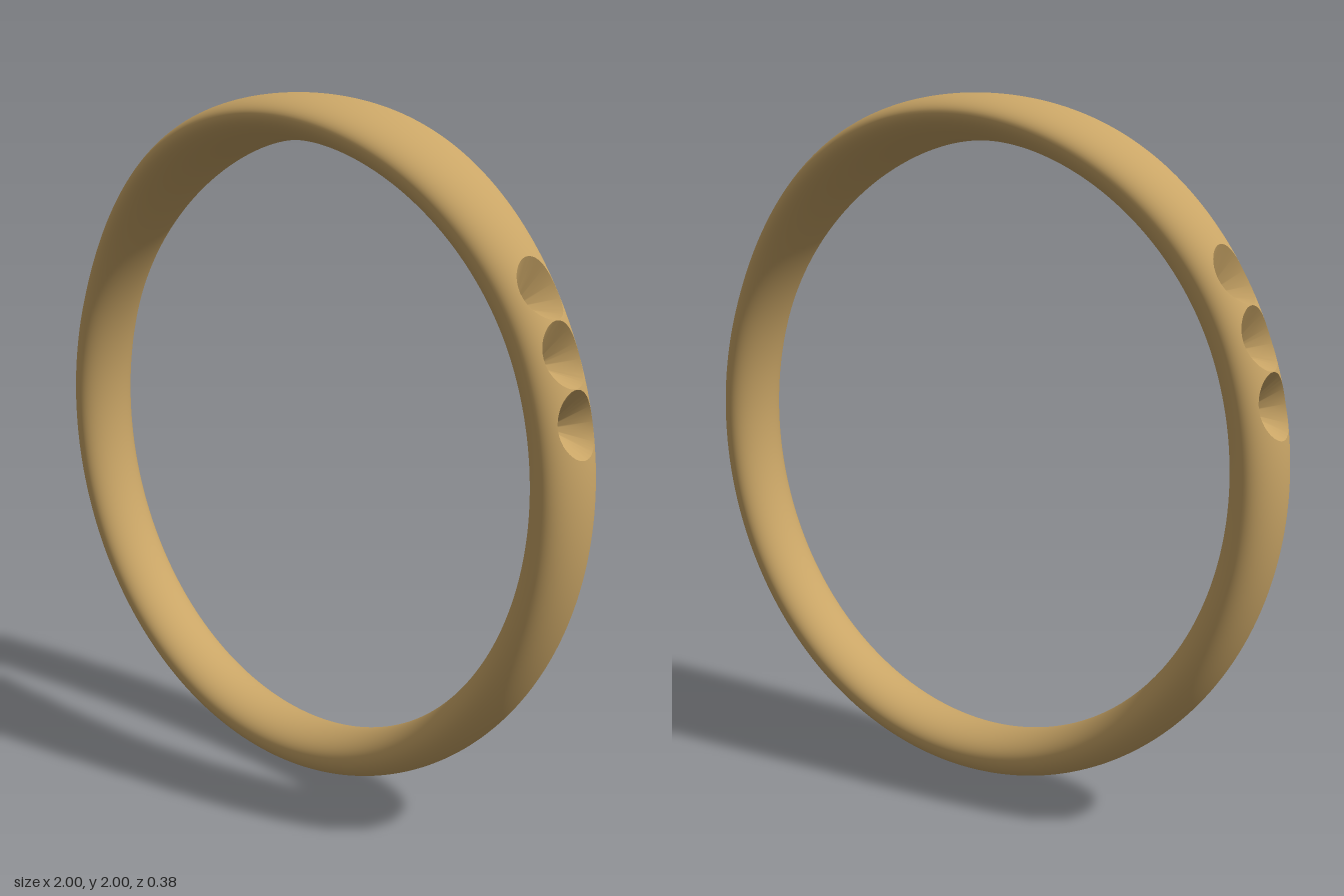
import * as THREE from 'three';
import { toCreasedNormals } from 'three/addons/utils/BufferGeometryUtils.js';

const RAD = Math.PI / 180;
const MID = 0.935, THICK = 0.065;          // centre radius and half thickness of the band
const SEAT_ANGLES = [11.5, 21.5, 31.5, 148.5, 158.5, 168.5];
const HALF_T = 5, HALF_P = 60;             // half size of the patch round a seat, degrees
const STEP_T = 1, STEP_P = 5;
const RIM = 0.0895, FLOOR = 0.02, DEPTH = 0.085;

// Half width of the band, swelling smoothly towards the top
const halfWidth = (t) => {
  const fromSide = Math.asin(Math.sin(t * RAD)) / RAD;
  return 0.105 + 0.085 * THREE.MathUtils.smoothstep(fromSide, 20, 90);
};

// Point on the band: t runs round the ring, p round its elliptical section (degrees)
const bandPoint = (t, p) => {
  const r = MID + THICK * Math.cos(p * RAD);
  return new THREE.Vector3(r * Math.cos(t * RAD), 1 + r * Math.sin(t * RAD), halfWidth(t) * Math.sin(p * RAD));
};

const bandNormal = (t, p) => {
  const e = 0.05;
  const dt = bandPoint(t + e, p).sub(bandPoint(t - e, p));
  const dp = bandPoint(t, p + e).sub(bandPoint(t, p - e));
  return dt.cross(dp).normalize();
};

// Grid points round the edge of a seat patch, counter-clockwise, as offsets in degrees
function patchEdge() {
  const pts = [];
  for (let t = -HALF_T; t < HALF_T; t += STEP_T) pts.push([t, -HALF_P]);
  for (let p = -HALF_P; p < HALF_P; p += STEP_P) pts.push([HALF_T, p]);
  for (let t = HALF_T; t > -HALF_T; t -= STEP_T) pts.push([t, HALF_P]);
  for (let p = HALF_P; p > -HALF_P; p -= STEP_P) pts.push([-HALF_T, p]);
  return pts;
}

// Where the conical seat cuts the band in direction a: band coordinates
function rimCoords(centre, a) {
  let rho = RIM, tan = 0, z = 0, h = 1;
  const w = halfWidth(centre);
  for (let i = 0; i < 60; i++) {
    tan = rho * Math.cos(a);
    z = rho * Math.sin(a);
    const r = MID + THICK * Math.sqrt(1 - Math.min(0.95, (z / w) ** 2));
    h = Math.sqrt(r * r - tan * tan);
    const cone = FLOOR + (RIM - FLOOR) * (DEPTH - (1 - h)) / DEPTH;
    rho = (rho + cone) / 2;
  }
  const t = centre + Math.atan2(tan, h) / RAD;
  return [t, Math.asin(z / halfWidth(t)) / RAD];
}

function makeGeometry(positions, index, normals) {
  const g = new THREE.BufferGeometry();
  g.setAttribute('position', new THREE.Float32BufferAttribute(positions, 3));
  if (normals) g.setAttribute('normal', new THREE.Float32BufferAttribute(normals, 3));
  g.setIndex(index);
  return g;
}

function bandGeometry(seats) {
  const pos = [], nor = [], index = [];
  const add = (t, p) => {
    pos.push(...bandPoint(t, p).toArray());
    nor.push(...bandNormal(t, p).toArray());
  };
  const quad = (a, b, c, d) => index.push(a, b, c, a, c, d);

  // Regular grid, leaving out the patches that hold the seats
  const nt = 360 / STEP_T, np = 360 / STEP_P;
  for (let i = 0; i <= nt; i++)
    for (let j = 0; j <= np; j++) add(i * STEP_T + 0.5, j * STEP_P - 180);
  for (let i = 0; i < nt; i++) {
    const t = (i + 0.5) * STEP_T + 0.5;
    const inSeat = SEAT_ANGLES.some((c) => Math.abs(t - c) < HALF_T);
    for (let j = 0; j < np; j++) {
      if (inSeat && Math.abs((j + 0.5) * STEP_P - 180) < HALF_P) continue;
      const a = i * (np + 1) + j, b = a + np + 1;
      quad(a, b, b + 1, a + 1);
    }
  }

  // Patches: rings from the seat rim out to the patch edge
  const edge = patchEdge(), n = edge.length, rings = 4;
  for (const { centre, rim } of seats) {
    const base = pos.length / 3;
    for (let k = 0; k <= rings; k++)
      edge.forEach(([t, p], i) => {
        const f = k / rings;
        add(THREE.MathUtils.lerp(rim[i][0], centre + t, f), THREE.MathUtils.lerp(rim[i][1], p, f));
      });
    for (let k = 0; k < rings; k++)
      for (let i = 0; i < n; i++) {
        const a = base + k * n, b = a + n, j = (i + 1) % n;
        quad(a + i, b + i, b + j, a + j);
      }
  }
  return makeGeometry(pos, index, nor);
}

// Conical wall with a small flat floor
function seatGeometry({ centre, rim, angles }) {
  const out = new THREE.Vector3(Math.cos(centre * RAD), Math.sin(centre * RAD), 0);
  const along = new THREE.Vector3(-out.y, out.x, 0);
  const floor = out.clone().multiplyScalar(1 - DEPTH).add(new THREE.Vector3(0, 1, 0));
  const pos = [], index = [], n = rim.length;
  rim.forEach(([t, p]) => pos.push(...bandPoint(t, p).toArray()));
  angles.forEach((a) => {
    const q = floor.clone().addScaledVector(along, FLOOR * Math.cos(a));
    q.z += FLOOR * Math.sin(a);
    pos.push(...q.toArray());
  });
  pos.push(...floor.toArray());
  for (let i = 0; i < n; i++) {
    const j = (i + 1) % n;
    index.push(n + i, i, j, n + i, j, n + j, 2 * n, n + i, n + j);
  }
  return toCreasedNormals(makeGeometry(pos, index), 0.6);
}

export function createModel() {
  const group = new THREE.Group();
  group.name = 'ring';
  const material = new THREE.MeshStandardMaterial({ color: 0xc9a566 });

  const angles = patchEdge().map(([t, p]) => Math.atan2(p / HALF_P, t / HALF_T));
  const seats = SEAT_ANGLES.map((centre) => ({
    centre, angles, rim: angles.map((a) => rimCoords(centre, a)),
  }));

  const band = new THREE.Mesh(bandGeometry(seats), material);
  band.name = 'band';
  group.add(band);

  seats.forEach((seat, i) => {
    const mesh = new THREE.Mesh(seatGeometry(seat), material);
    mesh.name = (i < 3 ? 'leftStoneSeat' : 'rightStoneSeat') + (i % 3 + 1);
    group.add(mesh);
  });
  return group;
}
